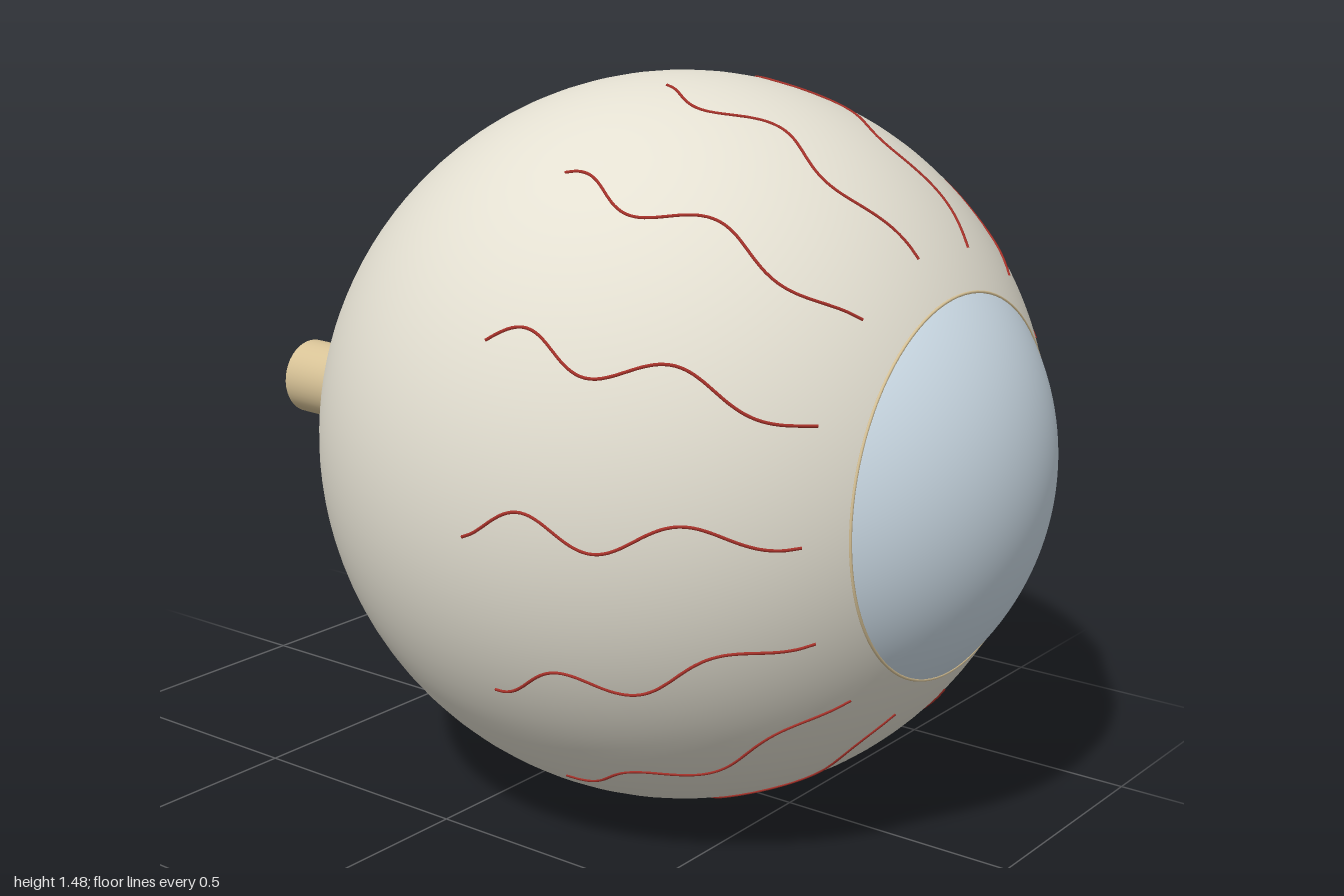
import * as THREE from 'three';

const R = 0.74, CY = 0.743, CZ = 0.215;   // eyeball radius and centre
const OPEN = Math.PI / 6;                 // half angle of the front opening

const mat = (name, color, side = THREE.FrontSide) => {
  const m = new THREE.MeshStandardMaterial({ color, side });
  m.name = name;
  return m;
};

export function createModel() {
  const sclera = mat('sclera ivory', 0xe4e0d2);
  const corneaBlue = mat('cornea pale blue', 0xcddce7);
  const nerveTan = mat('nerve tan', 0xd8c397, THREE.DoubleSide);
  const veinRed = mat('vein red', 0xa8322a);

  const group = new THREE.Group();
  group.name = 'eye';
  const add = (name, geometry, material, parent = group) => {
    const mesh = new THREE.Mesh(geometry, material);
    mesh.name = name;
    parent.add(mesh);
    return mesh;
  };

  // Eyeball: sphere with a round opening that faces forward
  const ball = new THREE.SphereGeometry(R, 96, 64, 0, Math.PI * 2, OPEN, Math.PI - OPEN);
  ball.rotateX(Math.PI / 2);
  add('eyeball', ball, sclera).position.set(0, CY, CZ);

  // Cornea: tighter spherical cap bulging from the opening to z = 1
  const rimR = R * Math.sin(OPEN), rimZ = CZ + R * Math.cos(OPEN);
  const sag = 1 - rimZ;
  const capR = (rimR * rimR + sag * sag) / (2 * sag);
  const cap = new THREE.SphereGeometry(capR, 96, 32, 0, Math.PI * 2, 0, Math.asin(rimR / capR));
  cap.rotateX(Math.PI / 2);
  add('cornea', cap, corneaBlue).position.set(0, CY, 1 - capR);

  // Fine rim where cornea and eyeball meet
  add('corneaRim', new THREE.TorusGeometry(rimR, 0.003, 8, 96), nerveTan).position.set(0, CY, rimZ);

  // Optic nerve: open tube, sheared sideways so that its ends stay upright
  const nerve = new THREE.CylinderGeometry(0.088, 0.088, 0.52, 40, 1, true);
  nerve.rotateX(Math.PI / 2);
  nerve.applyMatrix4(new THREE.Matrix4().makeShear(0, 0, 0, 0, -0.085, 0));
  add('opticNerve', nerve, nerveTan).position.set(0.106, 0.666, -0.74);

  // Veins: wavy threads over the front half, each with its own wave phase
  const phases = [0.3, 1.7, 2.5, 3.2, 4.4, -0.8, 0.1, 1.2, 1.9, 2.5, 3.5, -1, -0.6, 0.4];
  const veins = new THREE.Group();
  veins.name = 'veins';
  veins.position.set(0, CY, CZ);
  group.add(veins);
  phases.forEach((phase, k) => {
    const points = [];
    for (let i = 0; i <= 24; i++) {
      const t = i / 24;
      const z = THREE.MathUtils.lerp(0.59, 0.055, t);
      const r = Math.sqrt((R + 0.0005) ** 2 - z * z);
      const a = (k / phases.length) * Math.PI * 2 + 0.045 * Math.sin(4 * Math.PI * t + phase);
      points.push(new THREE.Vector3(r * Math.cos(a), r * Math.sin(a), z));
    }
    add('vein', new THREE.TubeGeometry(new THREE.CatmullRomCurve3(points), 72, 0.003, 6), veinRed, veins);
  });

  return group;
}
